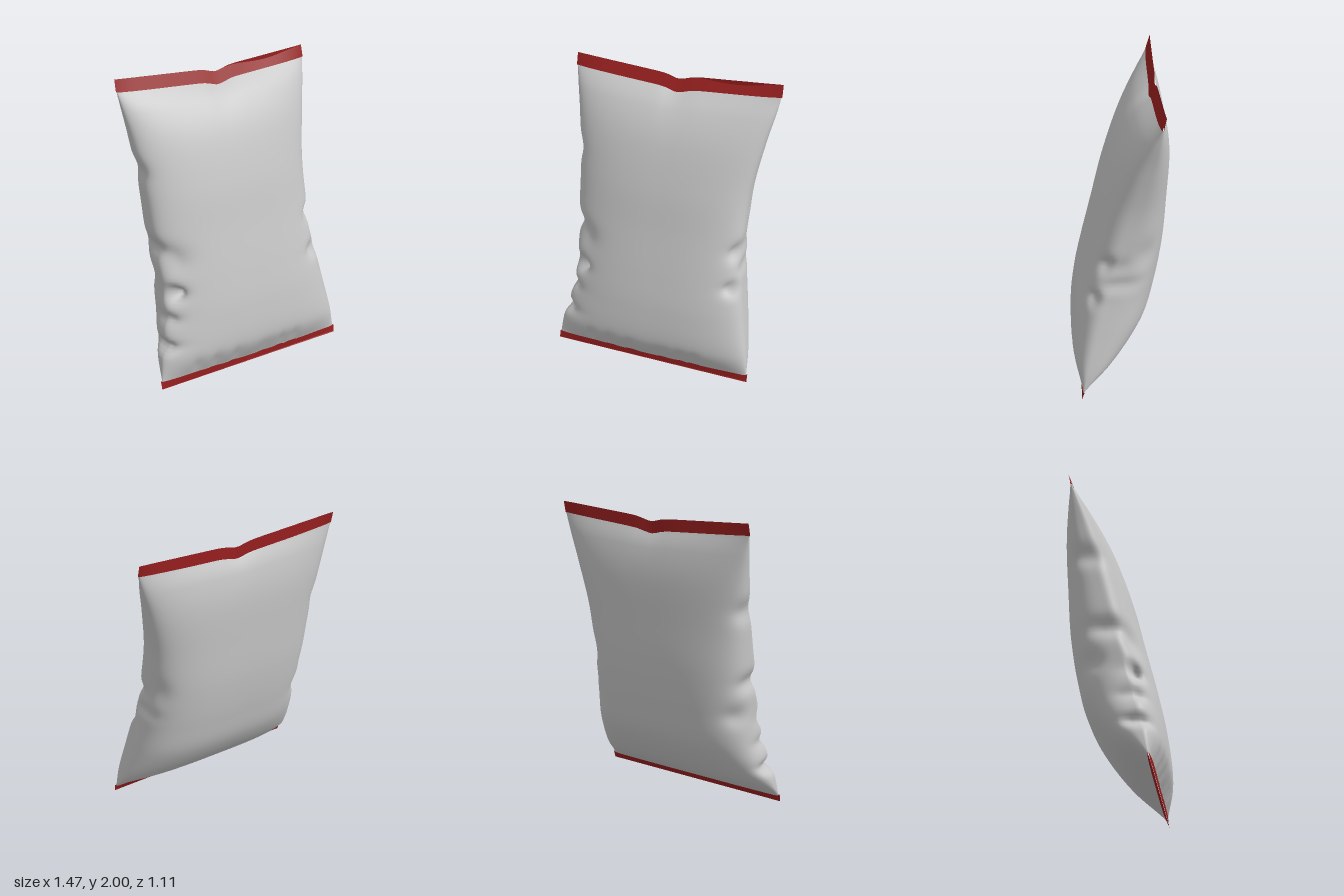
import * as THREE from 'three';

const foil = new THREE.MeshStandardMaterial({ color: 0xc6c6c6 });
foil.name = 'silver foil';
const red = new THREE.MeshStandardMaterial({ color: 0x981f1f, side: THREE.DoubleSide });
red.name = 'dark red seal';

const gauss = (d, r) => Math.exp(-(d * d) / (r * r));
// The pouch leans back: depth of its centre plane at height y
const lean = (y) => 0.25 - 0.257 * y;
// Sag of the top seam towards its middle
const sag = (x) => 0.045 * Math.max(0, 1 - Math.abs(x) / 0.7) + 0.02 * gauss(x - 0.02, 0.07);

// Profile of the pillow at a few heights
const heights = [0.045, 0.2, 0.45, 0.7, 1.0, 1.3, 1.6, 1.8, 1.925];
const profile = (values) => new THREE.SplineCurve(values.map((v, i) => new THREE.Vector2(heights[i], v)));
const rightWidth = profile([0.69, 0.675, 0.63, 0.59, 0.57, 0.575, 0.625, 0.67, 0.695]);
const leftWidth = profile([0.69, 0.67, 0.61, 0.595, 0.605, 0.615, 0.645, 0.675, 0.695]);
const frontDepth = profile([0.014, 0.115, 0.16, 0.175, 0.18, 0.185, 0.16, 0.1, 0.018]);
const backDepth = profile([0.014, 0.195, 0.315, 0.325, 0.295, 0.235, 0.165, 0.09, 0.018]);

// Dents: angle around the pouch, height, angular radius, height radius, depth
const dents = [
  [0.3, 0.92, 0.3, 0.06, 0.05], [0.45, 0.68, 0.25, 0.05, 0.05], [0.0, 0.8, 0.4, 0.05, 0.02],
  [-0.4, 1.0, 0.3, 0.1, 0.02], [2.75, 0.63, 0.25, 0.05, 0.1], [2.9, 0.46, 0.3, 0.04, 0.04],
  [3.0, 0.28, 0.4, 0.04, 0.06], [3.1, 0.92, 0.4, 0.06, 0.04], [3.2, 1.42, 0.4, 0.07, 0.03],
  [3.6, 0.7, 0.3, 0.07, 0.03], [2.6, 0.85, 0.3, 0.09, 0.04],
];
// Pleats gathered above the bottom seam
const pleats = [-0.44, -0.3, -0.14, 0.1, 0.22, 0.32];

function pouchGeometry() {
  const rows = 96, around = 112, positions = [], index = [];
  for (let i = 0; i <= rows; i++) {
    const t = i / rows;
    const y = rightWidth.getPoint(t).x;
    for (let j = 0; j < around; j++) {
      const a = (j / around) * Math.PI * 2;
      const c = Math.cos(a), s = Math.sin(a);
      // Blunt section with separate sizes per side, squarest at the back
      const e = s > 0 && c < 0 ? 0.85 : s > 0 ? 0.75 : 0.64;
      let x = Math.sign(c) * Math.abs(c) ** e * (c > 0 ? rightWidth : leftWidth).getPoint(t).y;
      let z = Math.sign(s) * Math.abs(s) ** e * (s > 0 ? frontDepth : backDepth).getPoint(t).y;
      for (const [da, dy, ra, ry, depth] of dents) {
        const turn = Math.atan2(Math.sin(a - da), Math.cos(a - da));
        const k = depth * gauss(turn, ra) * gauss(y - dy, ry);
        x -= k * c;
        z -= k * s * 0.6;
      }
      if (s > 0) {
        for (const p of pleats) z -= 0.015 * s * gauss(x - p, 0.03) * gauss(y - 0.12, 0.06);
      }
      const rise = Math.max(0, (y - 1.3) / 0.625) ** 4;
      positions.push(x, y - rise * sag(x), z + lean(y));
    }
  }
  for (let i = 0; i < rows; i++) {
    for (let j = 0; j < around; j++) {
      const k = (j + 1) % around;
      const p = i * around + j, q = i * around + k;
      index.push(p, p + around, q, q, p + around, q + around);
    }
  }
  const geometry = new THREE.BufferGeometry();
  geometry.setAttribute('position', new THREE.Float32BufferAttribute(positions, 3));
  geometry.setIndex(index);
  geometry.computeVertexNormals();
  return geometry;
}

// One layer of a seal: a ribbon between two edges, each with its offset from the centre plane
function ribbon(name, low, high, lowOffset, highOffset) {
  const geometry = new THREE.PlaneGeometry(1.395, 1, 48, 1);
  const pos = geometry.attributes.position;
  for (let i = 0; i < pos.count; i++) {
    const x = pos.getX(i);
    const upper = pos.getY(i) > 0;
    const y = upper ? high(x) : low(x);
    // Layers pinch together at both ends
    const pinch = 1 - 0.8 * (Math.abs(x) / 0.7) ** 8;
    pos.setXYZ(i, x, y, lean(y) + (upper ? highOffset : lowOffset) * pinch);
  }
  geometry.computeVertexNormals();
  const mesh = new THREE.Mesh(geometry, red);
  mesh.name = name;
  return mesh;
}

export function createModel() {
  const model = new THREE.Group();
  model.name = 'foilPouch';

  const pouch = new THREE.Mesh(pouchGeometry(), foil);
  pouch.name = 'pouchBody';
  model.add(pouch);

  // Top seal: two layers closing upwards, the front one dropping a little on one side
  const topLow = (x) => 1.922 - sag(x);
  const topHigh = (x) => 2 - sag(x);
  model.add(
    ribbon('topSealFront', topLow, (x) => topHigh(x) - 0.025 * gauss(x - 0.4, 0.2), 0.019, 0.003),
    ribbon('topSealBack', topLow, topHigh, -0.019, 0.002),
  );

  // Bottom seal: two layers closing downwards
  const bottomHigh = (x) => 0.052 + 0.022 * gauss(x, 0.04);
  const bottomLow = (x) => 0.006 + 0.006 * x;
  model.add(
    ribbon('bottomSealFront', bottomLow, bottomHigh, 0.003, 0.016),
    ribbon('bottomSealBack', () => 0, bottomHigh, 0.001, -0.015),
  );

  // The whole pouch is turned towards its left
  model.rotation.y = 0.492;
  const root = new THREE.Group();
  root.name = 'pouch';
  root.add(model);
  return root;
}
